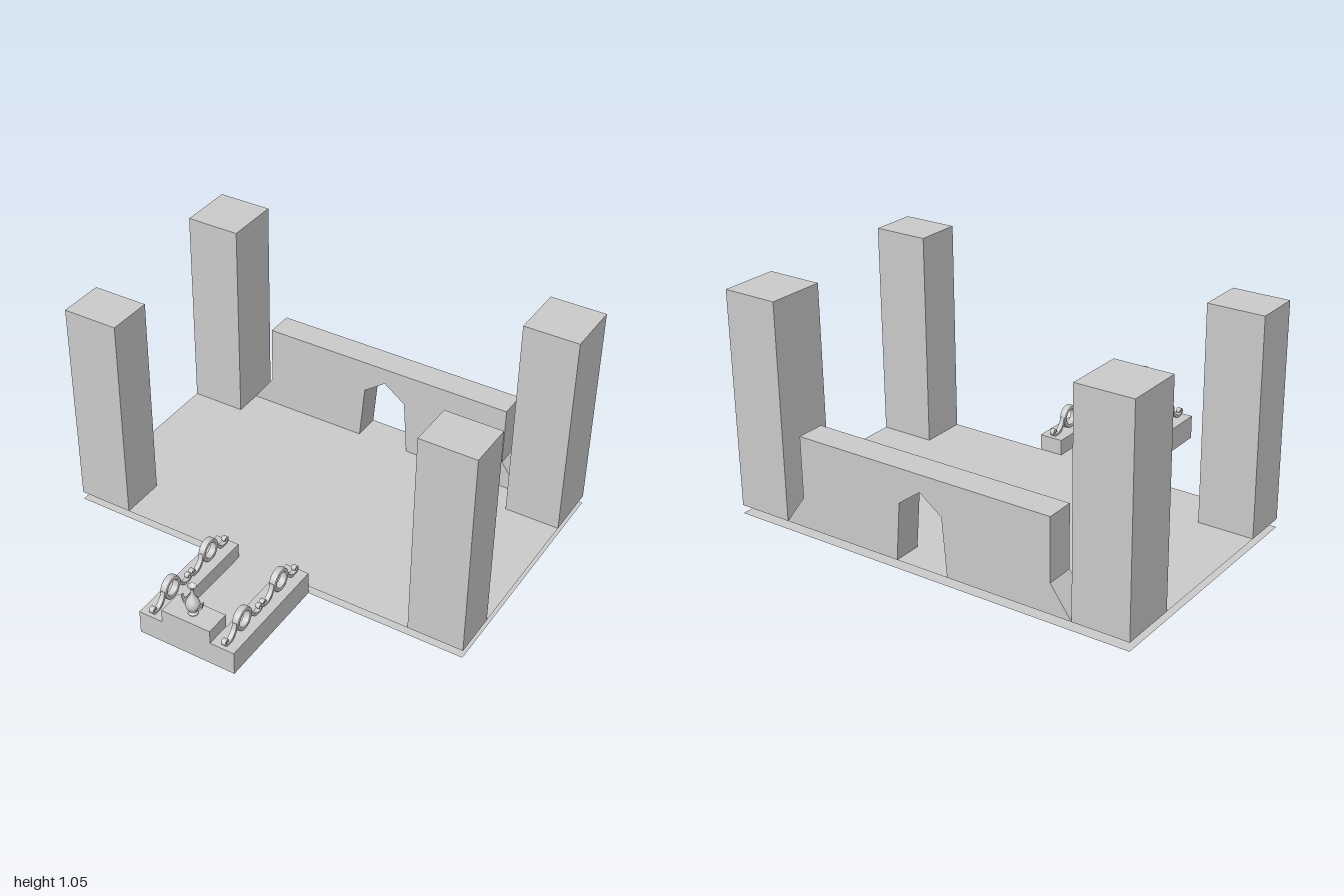
import * as THREE from 'three';

export function createModel() {
  const model = new THREE.Group();
  const grey = new THREE.MeshStandardMaterial({ color: 0xcccccc });
  const sheet = new THREE.MeshStandardMaterial({ color: 0xcccccc, side: THREE.DoubleSide });

  const add = (name, geometry, parent = model, material = grey) => {
    const mesh = new THREE.Mesh(geometry, material);
    mesh.name = name;
    parent.add(mesh);
    return mesh;
  };
  // box given by its lower and upper limits
  const block = (name, x0, x1, y0, y1, z0, z1) =>
    add(name, new THREE.BoxGeometry(x1 - x0, y1 - y0, z1 - z0))
      .position.set((x0 + x1) / 2, (y0 + y1) / 2, (z0 + z1) / 2);
  const outline = (pts) => new THREE.Shape(pts.map(([x, y]) => new THREE.Vector2(x, y)));

  // floor sheets: T-shaped plan, upper deck and underside
  const plan = (w) => outline([
    [-1, -0.315], [-w, -0.315], [-w, -0.9], [w, -0.9], [w, -0.315],
    [1, -0.315], [1, 0.895], [-1, 0.895],
  ]);
  [['floor', 0.125, 0.04], ['underside', 0.24, 0]].forEach(([name, w, y]) => {
    const mesh = add(name, new THREE.ShapeGeometry(plan(w)), model, sheet);
    mesh.rotation.x = -Math.PI / 2;
    mesh.position.y = y;
  });

  // four corner columns
  for (const s of [-1, 1]) {
    const [a, b] = s < 0 ? [-1, -0.735] : [0.735, 1];
    block('frontColumn', a, b, 0.04, 1.05, 0.095, 0.315);
    block('backColumn', a, b, 0.04, 1.05, -0.895, -0.62);
  }

  // back wall with flared feet and a pointed doorway
  const wall = outline([
    [-0.735, 0.04], [-0.13, 0.04], [-0.108, 0.31], [0, 0.39], [0.108, 0.31], [0.13, 0.04],
    [0.735, 0.04], [0.635, 0.18], [0.635, 0.47], [-0.635, 0.47], [-0.635, 0.18],
  ]);
  add('backWall', new THREE.ExtrudeGeometry(wall, { depth: 0.135, bevelEnabled: false }))
    .position.z = -0.895;

  // projecting walkway: side curbs, end block and pedestal
  block('curbRight', -0.24, -0.125, 0, 0.115, 0.315, 0.9);
  block('curbLeft', 0.125, 0.24, 0, 0.115, 0.315, 0.9);
  block('endBlock', -0.125, 0.125, 0, 0.115, 0.78, 0.9);
  block('pedestal', -0.122, 0.122, 0.115, 0.18, 0.78, 0.9);

  // ribbon of varying thickness along a flat curve, extruded sideways
  const ribbon = (pts, t0, t1, depth) => {
    const curve = new THREE.SplineCurve(pts.map(([x, y]) => new THREE.Vector2(x, y)));
    const n = 40, outer = [], inner = [];
    for (let i = 0; i <= n; i++) {
      const u = i / n, p = curve.getPoint(u), d = curve.getTangent(u);
      const t = (t0 + (t1 - t0) * u) / 2;
      outer.push(new THREE.Vector2(p.x - d.y * t, p.y + d.x * t));
      inner.unshift(new THREE.Vector2(p.x + d.y * t, p.y - d.x * t));
    }
    const g = new THREE.ExtrudeGeometry(new THREE.Shape([...outer, ...inner]), { depth, bevelEnabled: false });
    return g.translate(0, 0, -depth / 2);
  };

  // one railing motif: ring with a scroll curling away on each side
  const ringShape = new THREE.Shape().absarc(0, 0.055, 0.055, 0, Math.PI * 2);
  ringShape.holes.push(new THREE.Path().absarc(0, 0.055, 0.037, 0, Math.PI * 2, true));
  const ring = new THREE.ExtrudeGeometry(ringShape, {
    depth: 0.022, curveSegments: 20, bevelSize: 0.004, bevelThickness: 0.005, bevelOffset: -0.004, bevelSegments: 2,
  }).translate(0, 0, -0.011);
  const scrollPts = [
    [0.049, 0.065], [0.058, 0.038], [0.078, 0.016], [0.102, 0.004], [0.126, 0.006],
    [0.138, 0.02], [0.132, 0.031], [0.119, 0.029], [0.118, 0.02],
  ];
  const scroll = ribbon(scrollPts, 0.015, 0.007, 0.022);

  for (const x of [-0.183, 0.183]) for (const z of [0.75, 0.465]) {
    const motif = new THREE.Group();
    motif.name = 'scrollRailing';
    add('ring', ring, motif);
    add('scroll', scroll, motif);
    add('scroll', scroll, motif).rotation.y = Math.PI;
    // small bead at the middle of each curl
    for (const s of [-1, 1]) {
      add('curlBead', new THREE.SphereGeometry(0.009, 10, 8), motif).position.set(s * 0.122, 0.022, 0);
    }
    motif.rotation.y = Math.PI / 2;
    motif.position.set(x, 0.115, z);
    model.add(motif);
  }

  // vase with two upswept handles
  const vase = new THREE.Group();
  vase.name = 'vase';
  vase.position.set(0, 0.18, 0.842);
  model.add(vase);
  const profile = new THREE.SplineCurve([
    [0.022, 0.004], [0.015, 0.012], [0.024, 0.027], [0.032, 0.047], [0.029, 0.068],
    [0.016, 0.092], [0.008, 0.112], [0.008, 0.134], [0.02, 0.152],
  ].map(([x, y]) => new THREE.Vector2(x, y))).getPoints(32);
  add('vaseBody', new THREE.LatheGeometry(
    [new THREE.Vector2(0, 0), new THREE.Vector2(0.022, 0), ...profile, new THREE.Vector2(0.007, 0.14), new THREE.Vector2(0, 0.138)], 24),
  vase, sheet);
  const handle = ribbon([[0.026, 0.04], [0.04, 0.045], [0.047, 0.06], [0.053, 0.082]], 0.012, 0.004, 0.012);
  add('vaseHandle', handle, vase);
  add('vaseHandle', handle, vase).rotation.y = Math.PI;

  return model;
}
